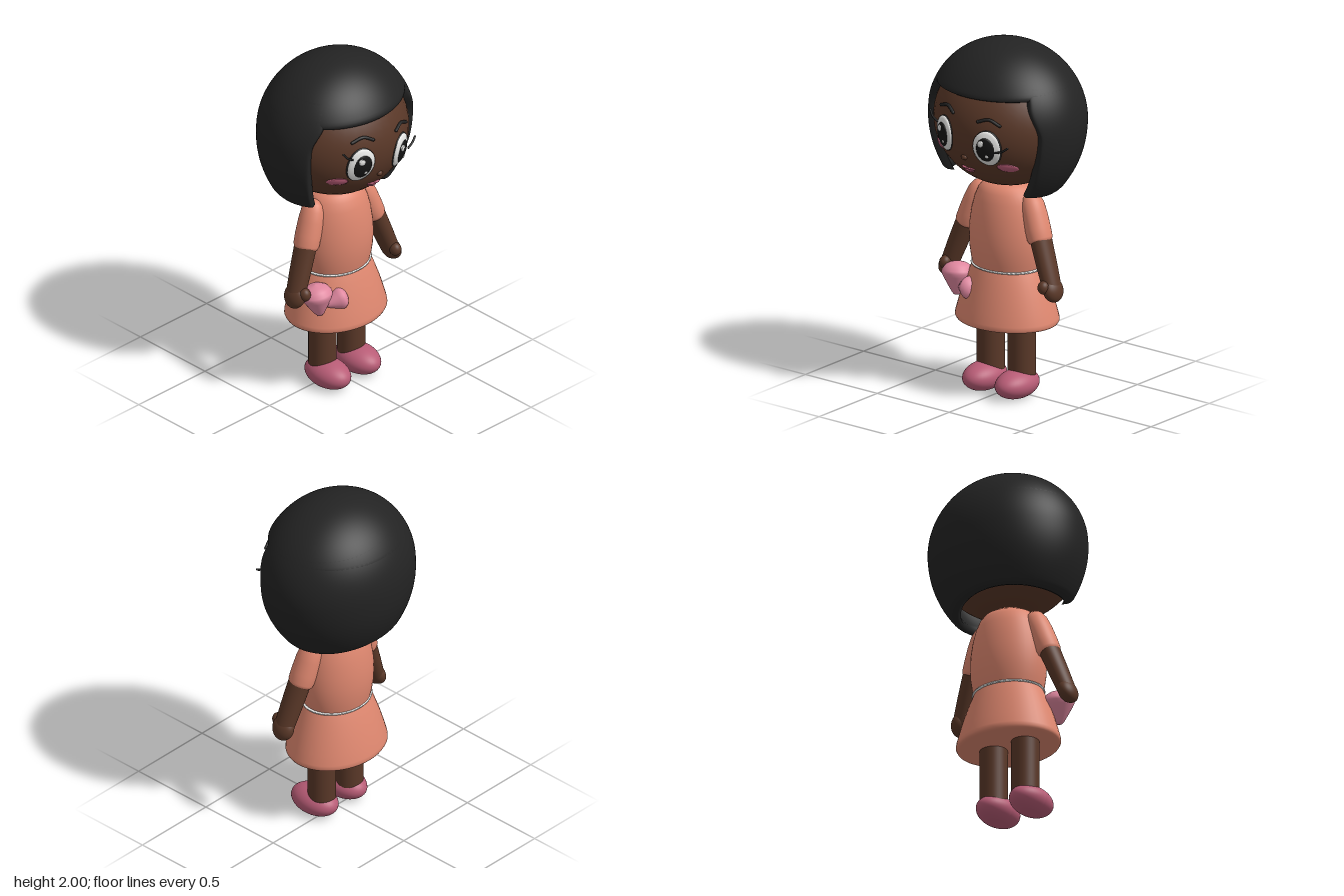
import * as THREE from 'three';
import { mergeVertices } from 'three/addons/utils/BufferGeometryUtils.js';

const V = (x, y, z) => new THREE.Vector3(x, y, z);

function material(name, color, side = THREE.FrontSide) {
  const m = new THREE.MeshStandardMaterial({ color, side });
  m.name = name;
  return m;
}

// Smooth surface over a grid; fn(u, v) returns a point for u, v in 0..1
function gridGeometry(nu, nv, fn) {
  const pos = [], idx = [];
  for (let i = 0; i <= nu; i++)
    for (let j = 0; j <= nv; j++) {
      const p = fn(i / nu, j / nv, j);
      pos.push(p.x, p.y, p.z);
      if (i < nu && j < nv) {
        const a = i * (nv + 1) + j, b = a + nv + 1;
        idx.push(a, a + 1, b, a + 1, b + 1, b);
      }
    }
  let g = new THREE.BufferGeometry();
  g.setAttribute('position', new THREE.Float32BufferAttribute(pos, 3));
  g.setIndex(idx);
  g = mergeVertices(g, 1e-5);
  g.computeVertexNormals();
  return g;
}

const lathe = (pts) => new THREE.LatheGeometry(pts.map(([r, y]) => new THREE.Vector2(r, y)), 48);

// Head ellipsoid, and the height of its front at (x, y)
const HEAD = V(0.41, 0.37, 0.385);
const faceZ = (x, y) => HEAD.z * Math.sqrt(Math.max(0, 1 - (x / HEAD.x) ** 2 - (y / HEAD.y) ** 2));

// Point on the hair surface at an angle from the front, pushed inward by inset
function hairPoint(theta, y, inset) {
  const h = y - 0.01;
  const s = h > 0
    ? Math.sqrt(Math.max(0, 1 - (h / 0.43) ** 2))
    : 1 - 0.25 * Math.pow(-h / 0.36, 2.2);
  const rx = Math.max(0, s * 0.455 - inset), rz = Math.max(0, s * 0.405 - inset);
  // the fringe lies a little closer to the forehead than the back
  const front = Math.cos(theta) > 0 ? 0.985 : 1;
  return V(rx * Math.sin(theta), y, rz * Math.cos(theta) * front);
}

// Rolled lower rim of the hair: [inset, height above the edge]
const RIM = [[0.002, 0.018], [0.008, 0.006], [0.022, 0], [0.045, 0.006], [0.06, 0.04]];

export function createModel() {
  const model = new THREE.Group();
  model.name = 'doll';
  const hair = material('black hair', 0x232323, THREE.DoubleSide);
  const skin = material('brown skin', 0x5a3828);
  const dress = material('coral dress', 0xe08870);
  const rose = material('rose', 0xb85c76);
  const pink = material('light pink', 0xe088a0);
  const white = material('white', 0xeeeeec);
  const black = material('eye black', 0x161616);

  function add(parent, name, geometry, mat, pos = [0, 0, 0], scale = [1, 1, 1]) {
    const m = new THREE.Mesh(geometry, mat);
    m.name = name;
    m.position.set(...pos);
    m.scale.set(...scale);
    parent.add(m);
    return m;
  }
  const ball = new THREE.SphereGeometry(1, 40, 28);

  // Lathed shape with its foot at a and its top pointing to b
  function aim(parent, name, profile, mat, a, b, scaleZ = 1) {
    const m = add(parent, name, lathe(profile), mat, a.toArray(), [1, 1, scaleZ]);
    m.quaternion.setFromUnitVectors(V(0, 1, 0), b.clone().sub(a).normalize());
    return m;
  }

  // Head, tilted a little to one side
  const head = new THREE.Group();
  head.name = 'head';
  head.position.y = 1.56;
  head.rotation.z = -0.09;
  model.add(head);
  add(head, 'face', ball, skin, [0, 0, 0], HEAD.toArray());

  // Hair cap with fringe
  const capRows = 28;
  add(head, 'hairCap', gridGeometry(80, capRows + RIM.length, (u, v, j) => {
    const theta = (u * 2 - 1) * Math.PI;
    const edge = 0.195 + 0.04 * Math.sin(theta);
    if (j > capRows) {
      const [inset, lift] = RIM[j - capRows - 1];
      return hairPoint(theta, edge + lift, inset);
    }
    const phi = Math.acos((edge + 0.02) / 0.43) * j / capRows;
    return hairPoint(theta, 0.01 + 0.43 * Math.cos(phi), 0);
  }), hair);

  // Bob around the sides and back, open at the face
  const bobRows = 26;
  add(head, 'hairBob', gridGeometry(96, bobRows * 2 + RIM.length, (u, v, j) => {
    const w = u * 2 - 1;
    const around = Math.sin(w * Math.PI / 2);
    const bottom = -0.365 + 0.03 * Math.cos(Math.PI * (1 + around * 0.67)) ** 2;
    const thick = RIM[RIM.length - 1];
    let y, inset = 0;
    if (j <= bobRows) y = THREE.MathUtils.lerp(0.29, bottom + 0.03, j / bobRows);
    else if (j <= bobRows + RIM.length) {
      const [i, lift] = RIM[j - bobRows - 1];
      y = bottom + lift;
      inset = i;
    } else {
      y = THREE.MathUtils.lerp(bottom + thick[1], 0.25, (j - bobRows - RIM.length) / bobRows);
      inset = thick[0];
    }
    inset = Math.max(inset, thick[0] * Math.abs(w) ** 30);
    const open = 60 - 9 * THREE.MathUtils.smoothstep(y, 0.02, 0.2);
    return hairPoint(Math.PI + around * (Math.PI - open * Math.PI / 180), y, inset);
  }), hair);

  // Domed oval that follows the face
  function oval(name, mat, cx, cy, rx, ry, lift, dome, tilt = 0) {
    const n = 8;
    add(head, name, gridGeometry(32, n + 1, (u, v, j) => {
      const r = Math.min(j / n, 1), a = u * Math.PI * 2;
      const ex = r * rx * Math.cos(a), ey = r * ry * Math.sin(a);
      const x = cx + ex * Math.cos(tilt) - ey * Math.sin(tilt);
      const y = cy + ex * Math.sin(tilt) + ey * Math.cos(tilt);
      const z = faceZ(x, y) + lift + dome * (1 - r * r) - (j > n ? 0.012 : 0);
      return V(x, y, z);
    }), mat);
  }
  function stroke(name, pts, radius) {
    const curve = new THREE.CatmullRomCurve3(pts);
    add(head, name, new THREE.TubeGeometry(curve, 16, radius, 8), hair);
    for (const p of [pts[0], pts[pts.length - 1]])
      add(head, name + 'End', ball, hair, p.toArray(), [radius, radius, radius]);
  }

  // Eyes, brows and cheeks
  for (const s of [-1, 1]) {
    const x = s * 0.148;
    oval('eyeRim', hair, x, -0.049, 0.076, 0.105, 0.005, 0.003);
    oval('eyeWhite', white, x, -0.05, 0.072, 0.101, 0.009, 0.016);
    oval('pupil', black, x + s * 0.002, -0.052, 0.048, 0.07, 0.019, 0.009);
    oval('eyeGlint', white, x - 0.018, -0.018, 0.016, 0.018, 0.029, 0.004);
    oval('eyeGlintSmall', white, x + 0.014, -0.088, 0.008, 0.009, 0.027, 0.003);
    oval('cheek', rose, s * 0.235, -0.158, 0.045, 0.026, 0.005, 0.008);
    stroke('brow', [[0.087, 0.095], [0.142, 0.116], [0.204, 0.093]].map(
      ([bx, by]) => V(s * bx, by, faceZ(bx, by) + 0.007)), 0.009);
  }
  stroke('lashRight', [V(-0.21, 0.0, 0.345), V(-0.245, 0.018, 0.342), V(-0.271, 0.045, 0.332)], 0.006);
  stroke('lashLeft', [V(0.208, -0.055, 0.355), V(0.245, -0.04, 0.345), V(0.274, -0.015, 0.335)], 0.006);

  // Nose and lips
  add(head, 'nose', ball, skin, [0, -0.143, faceZ(0, -0.143)], [0.019, 0.016, 0.014]);
  for (const s of [-1, 1]) oval('upperLip', rose, s * 0.019, -0.219, 0.025, 0.008, 0.006, 0.01, s * 0.12);
  oval('lowerLip', rose, 0, -0.233, 0.03, 0.011, 0.006, 0.014);

  // Dress
  add(model, 'bodice', lathe([[0.195, 0.71], [0.207, 0.76], [0.216, 0.82], [0.219, 0.88], [0.216, 0.95],
    [0.204, 1.03], [0.186, 1.1], [0.165, 1.15], [0.14, 1.18], [0.1, 1.2], [0, 1.205]]),
    dress, [0, 0, 0], [1, 1, 0.86]);
  add(model, 'skirt', lathe([[0, 0.415], [0.2, 0.41], [0.28, 0.405], [0.296, 0.408], [0.303, 0.42], [0.3, 0.44],
    [0.283, 0.5], [0.258, 0.58], [0.228, 0.66], [0.204, 0.715], [0.195, 0.73]]),
    dress, [0, 0, 0], [1, 1, 0.83]);
  add(model, 'belt', lathe([[0.195, 0.716], [0.209, 0.717], [0.211, 0.722], [0.209, 0.727], [0.195, 0.728]]),
    white, [0, 0, 0], [1, 1, 0.84]);

  // Shoe with a flattened sole
  const shoe = ball.clone();
  const sp = shoe.attributes.position;
  for (let i = 0; i < sp.count; i++) sp.setY(i, Math.max(sp.getY(i), -0.9));
  shoe.computeVertexNormals();

  for (const s of [-1, 1]) {
    const side = s > 0 ? 'left' : 'right';
    // Legs and shoes
    add(model, side + 'Leg', new THREE.CylinderGeometry(0.077, 0.077, 0.35, 40), skin, [s * 0.108, 0.26, 0.008]);
    add(model, side + 'Shoe', shoe, rose, [s * 0.113, 0.072, 0.055], [0.1, 0.08, 0.15]);
    // Arms
    aim(model, side + 'Sleeve', [[0, 0], [0.045, -0.002], [0.06, 0.006], [0.067, 0.025], [0.068, 0.08],
      [0.066, 0.16], [0.06, 0.22], [0.045, 0.26], [0.025, 0.278], [0, 0.285]],
      dress, V(s * 0.258, 0.9, 0.03), V(s * 0.16, 1.17, 0.005), 1.1);
    aim(model, side + 'Forearm', [[0, -0.065], [0.02, -0.059], [0.036, -0.04], [0.045, -0.01], [0.048, 0.03],
      [0.052, 0.14], [0.055, 0.3]],
      skin, V(s * 0.36, 0.655, 0.055), V(s * 0.25, 0.94, 0.028), 1.22);
    const hand = add(model, side + 'Hand', ball, skin, [s * 0.362, 0.66, 0.055], [0.045, 0.07, 0.068]);
    hand.rotation.z = s * 0.35;
    add(model, side + 'Thumb', ball, skin, [s * 0.342, 0.682, 0.11], [0.032, 0.038, 0.035]);
  }

  // Pink bow held by the right hand
  const loop = (k) => [[0, 0], [0.018, 0.003], [0.03, 0.018], [0.055, 0.06], [0.078, 0.1], [0.088, 0.122],
    [0.086, 0.138], [0.07, 0.162], [0.045, 0.178], [0, 0.188]].map(([r, y]) => [r * k, y * k]);
  aim(model, 'bowLargeLoop', loop(1), pink, V(-0.245, 0.522, 0.13), V(-0.258, 0.7, 0.105));
  aim(model, 'bowSmallLoop', loop(0.72), pink, V(-0.215, 0.575, 0.14), V(-0.085, 0.605, 0.175));

  return model;
}
